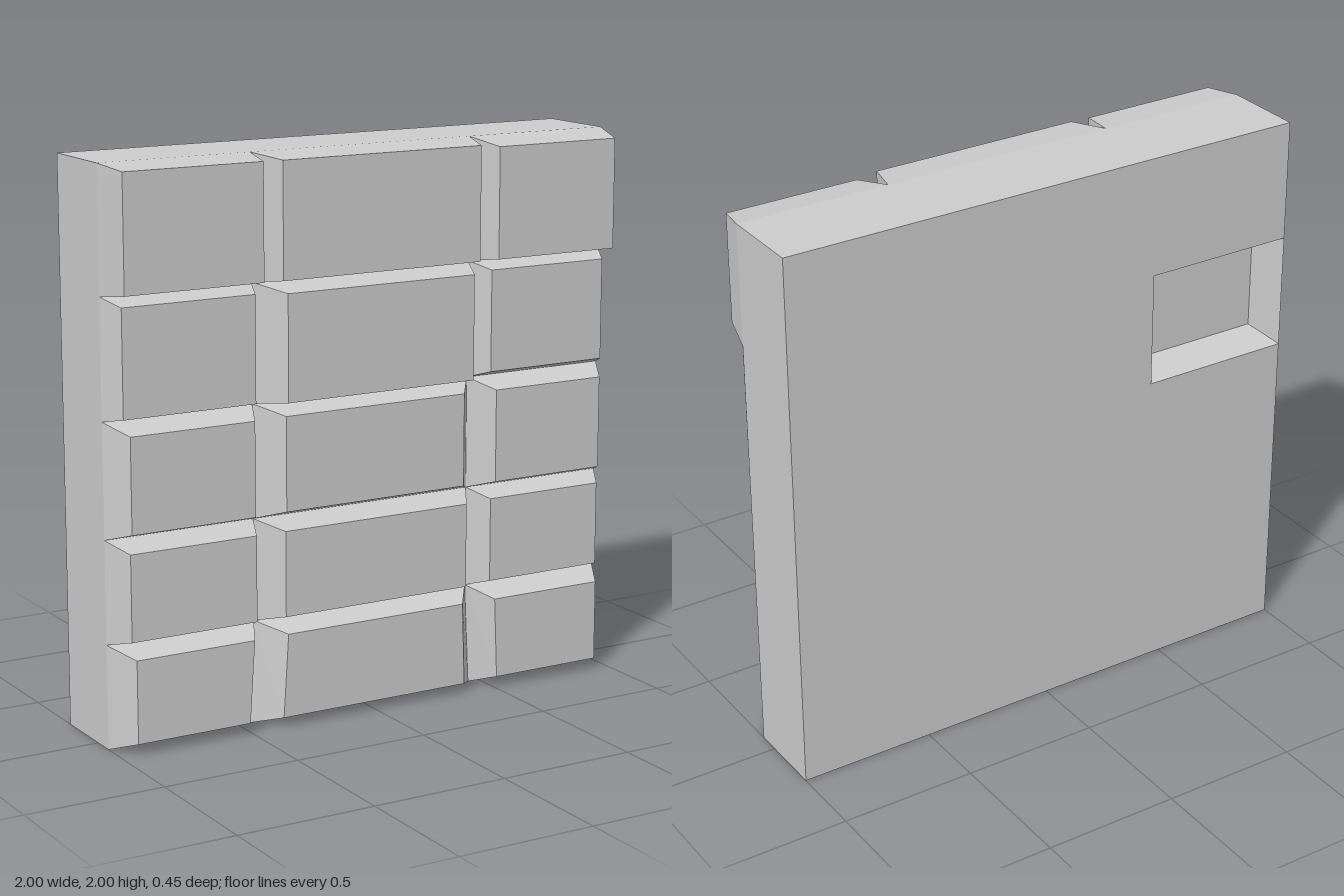
import * as THREE from 'three';

const material = new THREE.MeshStandardMaterial({ color: 0xcccccc, flatShading: true });
const BACK = -0.225, SEAM = 0.08;

// Mesh made of four-cornered faces, corners counter-clockwise seen from outside
function quadMesh(name, quads) {
  const positions = [];
  for (const [a, b, c, d] of quads) positions.push(...a, ...b, ...c, ...a, ...c, ...d);
  const geometry = new THREE.BufferGeometry();
  geometry.setAttribute('position', new THREE.Float32BufferAttribute(positions, 3));
  geometry.computeVertexNormals();
  const mesh = new THREE.Mesh(geometry, material);
  mesh.name = name;
  return mesh;
}

// Outline in the xy plane: bottom and top heights, left/right x at each of them
function outline(y0, y1, [l0, r0, l1 = l0, r1 = r0], z) {
  return [[l0, y0, z], [r0, y0, z], [r1, y1, z], [l1, y1, z]];
}

// Flat face joined to its rim by four sloping sides; inward turns it into a recess
function bevelled(name, rim, face, inward = false) {
  const quads = [face];
  for (let i = 0; i < 4; i++) {
    const j = (i + 1) % 4;
    quads.push([rim[i], rim[j], face[j], face[i]]);
  }
  return quadMesh(name, inward ? quads.map(q => [...q].reverse()) : quads);
}

// Rows from the bottom up: rim heights, column seams, then each block's face
// as [bottom y, top y, [left x, right x, (top left, top right)], z]
const rows = [
  { y: [0, 0.37], seams: [-0.455, 0.455, -0.435, 0.437], blocks: [
    [0.04, 0.335, [-0.94, -0.51, -0.94, -0.49], 0.19],
    [0.035, 0.335, [-0.375, 0.37, -0.355, 0.36], 0.185],
    [0.04, 0.335, [0.507, 0.94, 0.495, 0.94], 0.19]] },
  { y: [0.37, 0.735], seams: [-0.435, 0.437], blocks: [
    [0.4, 0.705, [-0.957, -0.48], 0.19],
    [0.4, 0.705, [-0.367, 0.37], 0.19],
    [0.4, 0.705, [0.485, 0.95], 0.17]] },
  { y: [0.735, 1.14], seams: [-0.435, 0.437], blocks: [
    [0.77, 1.105, [-0.95, -0.483], 0.19],
    [0.77, 1.105, [-0.357, 0.363], 0.18],
    [0.77, 1.105, [0.495, 0.943], 0.185]] },
  { y: [1.14, 1.56], seams: [-0.435, 0.437], blocks: [
    [1.16, 1.535, [-0.967, -0.47], 0.175],
    [1.16, 1.535, [-0.37, 0.375], 0.22],
    [1.17, 1.535, [0.48, 0.955], 0.17]] },
  { y: [1.56, 2], seams: [-0.435, 0.437], blocks: [
    [1.58, 1.985, [-0.977, -0.46], 0.22],
    [1.58, 1.985, [-0.39, 0.395], 0.225],
    [1.58, 1.975, [0.475, 0.965], 0.22]] },
];

export function createModel() {
  const group = new THREE.Group();
  group.name = 'stoneWall';

  // Front blocks
  const columns = ['right', 'middle', 'left'];
  rows.forEach(({ y, seams: [a, b, a1 = a, b1 = b], blocks }, row) => {
    const spans = [[-1, a, -1, a1], [a, b, a1, b1], [b, 1, b1, 1]];
    blocks.forEach(([y0, y1, xs, z], i) => {
      group.add(bevelled(`${columns[i]}Block${row + 1}`,
        outline(...y, spans[i], SEAM), outline(y0, y1, xs, z)));
    });
  });

  // Plain sides of the slab
  const front = outline(0, 2, [-1, 1], SEAM), back = outline(0, 2, [-1, 1], BACK);
  group.add(quadMesh('slabSides', front.map((corner, i) => {
    const j = (i + 1) % 4;
    return [back[i], back[j], front[j], corner];
  })));

  // Back face, left open around the recess
  const backParts = [[0, 1.14, [-1, 1]], [1.14, 1.56, [-0.435, 1]], [1.56, 2, [-1, 1]]];
  group.add(quadMesh('backFace', backParts.map(p => outline(...p, BACK).reverse())));

  // Tapered recess in the back
  group.add(bevelled('backRecess', outline(1.14, 1.56, [-1, -0.435], BACK),
    outline(1.17, 1.535, [-0.967, -0.47], BACK + 0.14), true));

  return group;
}
